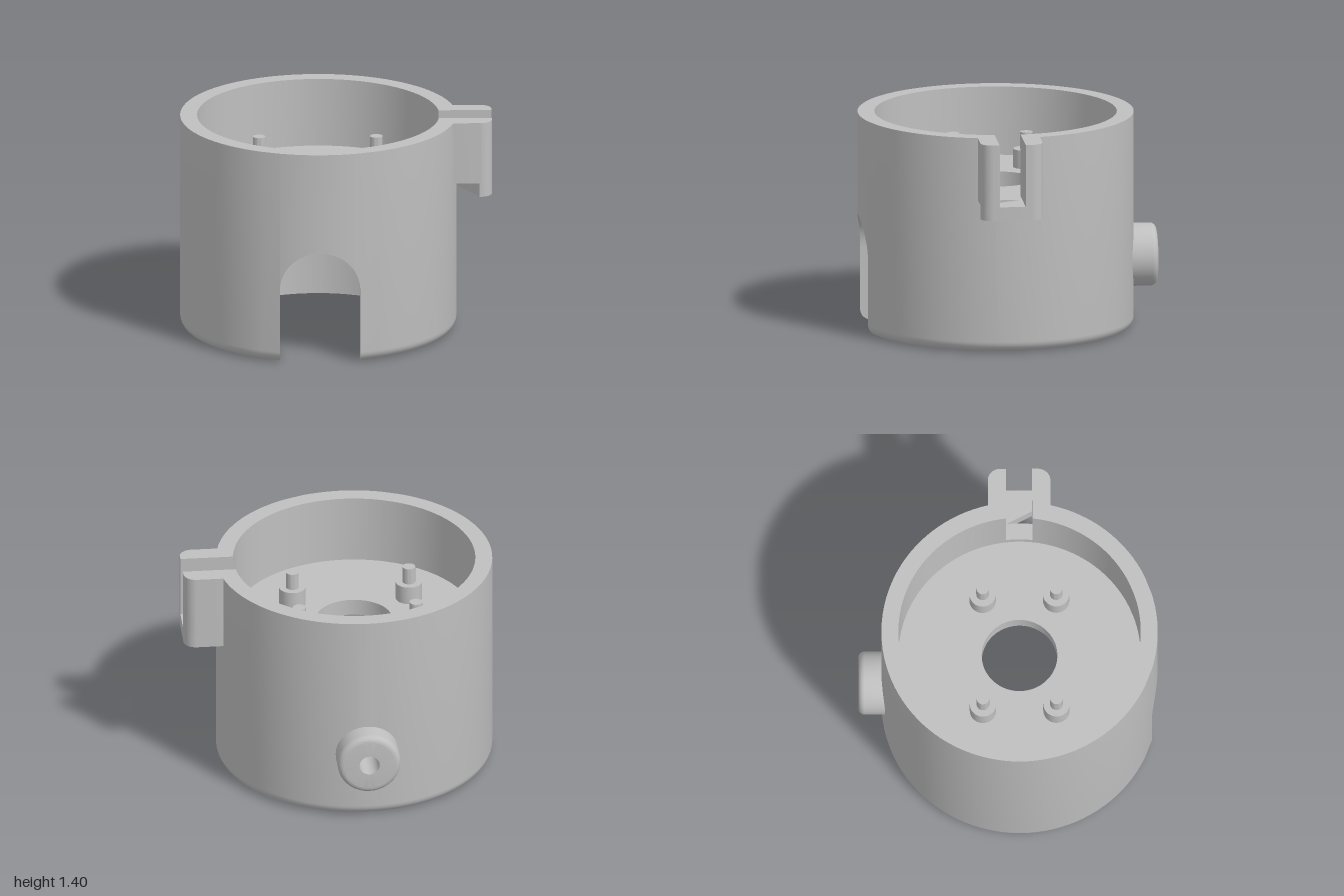
import * as THREE from 'three';
import { mergeGeometries, toCreasedNormals } from 'three/addons/utils/BufferGeometryUtils.js';

const R = 0.887, UPPER = 0.778, LOWER = 0.67, H = 1.405; // wall radii and height
const FILLET = 0.07, FLOOR = 0.958, CREASE = 0.6;
const ARCH_R = 0.258, ARCH_Y = 0.485;     // front doorway
const HOLE_R = 0.065, HOLE_Y = 0.447;     // hole through the back boss
const NOTCH = 0.084, NOTCH_Y = 1.0;       // notch in the rim at the side lug

// Rounded corner as [radius, y] points
function corner(cx, cy, r, from, to, n = 8) {
  return Array.from({ length: n + 1 }, (_, i) => {
    const a = from + (to - from) * i / n;
    return [cx + r * Math.cos(a), cy + r * Math.sin(a)];
  });
}

// Closed wall section between two heights, counter-clockwise
function section(bottom, top) {
  const pts = bottom === 0 ? corner(R - FILLET, FILLET, FILLET, -Math.PI / 2, 0) : [[R, bottom]];
  pts.push([R, top]);
  if (top > FLOOR) pts.push([UPPER, top], [UPPER, 0.9], [LOWER, 0.9]);
  else pts.push([LOWER, top]);
  pts.push([LOWER, bottom]);
  return pts;
}

// Loft of wall sections; each column has an axis angle a, a sideways offset s and a section
function loft(columns) {
  const rings = columns.map(({ a, s, pts }) => pts.map(([r, y]) => {
    const t = a + Math.asin(s / r);
    return [r * Math.sin(t), y, r * Math.cos(t)];
  }));
  const pos = [];
  const tri = (...p) => p.forEach(v => pos.push(...v));
  const n = rings[0].length, last = rings.length - 1;
  for (let i = 0; i < last; i++) {
    for (let j = 0; j < n; j++) {
      const k = (j + 1) % n, p = rings[i], q = rings[i + 1];
      tri(p[j], q[j], q[k]);
      tri(p[j], q[k], p[k]);
    }
  }
  const cap = (ring, pts, flip) => {
    const contour = pts.map(([x, y]) => new THREE.Vector2(x, y));
    for (const [a, b, c] of THREE.ShapeUtils.triangulateShape(contour, [])) {
      if (flip) tri(ring[a], ring[c], ring[b]);
      else tri(ring[a], ring[b], ring[c]);
    }
  };
  cap(rings[0], columns[0].pts, false);
  cap(rings[last], columns[last].pts, true);
  const g = new THREE.BufferGeometry();
  g.setAttribute('position', new THREE.Float32BufferAttribute(pos, 3));
  return g;
}

// Piece of wall around an opening of half width w; heights(rise) gives bottom and top
function opening(a, w, n, heights) {
  return loft(Array.from({ length: n + 1 }, (_, i) => {
    const t = (i / n - 0.5) * Math.PI;
    const rise = i === 0 || i === n ? 0 : w * Math.cos(t);
    return { a, s: w * Math.sin(t), pts: section(...heights(rise)) };
  }));
}

// Full-height wall between two openings
function sector(a0, w0, a1, w1) {
  const pts = section(0, H), cols = [{ a: a0, s: w0, pts }];
  const from = a0 + Math.asin(w0 / LOWER) + 0.04, to = a1 - Math.asin(w1 / LOWER) - 0.04;
  const n = Math.ceil((to - from) / 0.06);
  for (let i = 0; i <= n; i++) cols.push({ a: from + (to - from) * i / n, s: 0, pts });
  cols.push({ a: a1, s: -w1, pts });
  return loft(cols);
}

// Solid of revolution with crisp edges
function turned(pts, segments = 64) {
  const g = new THREE.LatheGeometry(pts.map(([x, y]) => new THREE.Vector2(x, y)), segments);
  return toCreasedNormals(g, CREASE);
}

// Upright extrusion of a plan shape
function upright(shape, y0, y1) {
  const g = new THREE.ExtrudeGeometry(shape, { depth: y1 - y0, bevelEnabled: false, curveSegments: 10 });
  g.rotateX(-Math.PI / 2).translate(0, y0, 0);
  return toCreasedNormals(g, CREASE);
}

export function createModel() {
  const group = new THREE.Group();
  const grey = new THREE.MeshStandardMaterial({ color: 0xbfbfbf });
  grey.name = 'grey';
  const body = new THREE.Group();
  body.name = 'housing';
  body.position.set(-0.113, 0, 0.07);
  group.add(body);
  const add = (name, geometry) => {
    const m = new THREE.Mesh(geometry, grey);
    m.name = name;
    body.add(m);
    return m;
  };

  // Cylindrical wall with doorway, rim notch and rear hole
  const P = Math.PI;
  add('wall', toCreasedNormals(mergeGeometries([
    opening(0, ARCH_R, 32, rise => [ARCH_Y + rise, H]),
    sector(0, ARCH_R, P / 2, NOTCH),
    opening(P / 2, NOTCH, 6, () => [0, NOTCH_Y]),
    sector(P / 2, NOTCH, P, HOLE_R),
    opening(P, HOLE_R, 20, rise => [0, HOLE_Y - rise]),
    opening(P, HOLE_R, 20, rise => [HOLE_Y + rise, H]),
    sector(P, HOLE_R, 2 * P, ARCH_R),
  ]), CREASE));

  // Inner floor with central hole
  add('floor', turned([[0.243, 0.85], [UPPER, 0.85], [UPPER, FLOOR], [0.243, FLOOR], [0.243, 0.85]], 104));

  // Four stepped mounting posts
  for (const x of [-0.376, 0.376]) {
    for (const z of [-0.236, 0.236]) {
      add('mountingPost', turned([[0.085, 0], [0.085, 0.12], [0.041, 0.12], [0.041, 0.23], [0, 0.23]], 36))
        .position.set(x, FLOOR, z);
    }
  }

  // Round boss at the back, with a hole
  const boss = add('rearBoss', turned([
    [0.203, 0.855], ...corner(0.163, 0.995, 0.04, 0, P / 2),
    [HOLE_R, 1.035], [HOLE_R, 0.855],
  ], 40));
  boss.rotation.x = -P / 2;
  boss.position.y = HOLE_Y;

  // Side lug: a base with two prongs either side of the slot
  const x0 = 0.82, x1 = 1.113, half = 0.201, r = 0.08;
  const base = new THREE.Shape();
  base.moveTo(x0, -half);
  base.absarc(x1 - r, -half + r, r, -P / 2, 0, false);
  base.absarc(x1 - r, half - r, r, 0, P / 2, false);
  base.lineTo(x0, half);
  add('lugBase', upright(base, 0.91, NOTCH_Y));
  for (const k of [-1, 1]) {
    const prong = new THREE.Shape();
    prong.moveTo(x0, k * NOTCH);
    prong.lineTo(x1, k * NOTCH);
    prong.absarc(x1 - r, k * (half - r), r, 0, k * P / 2, k < 0);
    prong.lineTo(x0, k * half);
    add('lugProng', upright(prong, NOTCH_Y, H));
  }
  return group;
}
